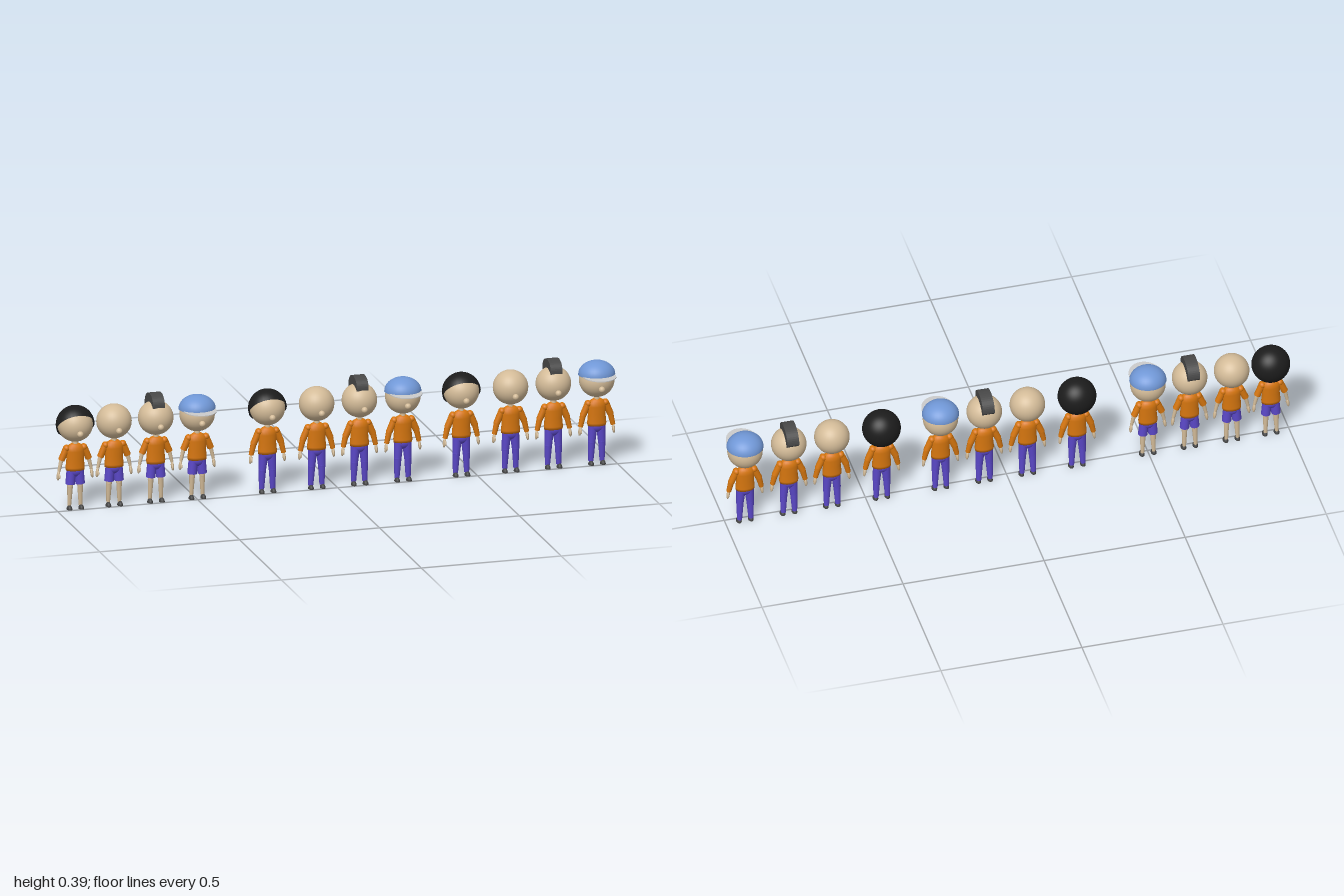
import * as THREE from 'three';

const mat = (color) => new THREE.MeshStandardMaterial({ color, side: THREE.DoubleSide });
const SKIN = mat(0xd3bb98), SHIRT = mat(0xd6760f), PANTS = mat(0x5b48c8), SHOE = mat(0x444444),
  BLACK = mat(0x1c1c1c), DARK = mat(0x484848), BLUE = mat(0x7097d6), GREY = mat(0xcccccc);

const Z = -0.018; // body axis
const HEAD_Y = 0.302;

function add(group, name, geometry, material, x = 0, y = 0, z = Z) {
  const mesh = new THREE.Mesh(geometry, material);
  mesh.name = name;
  mesh.position.set(x, y, z);
  group.add(mesh);
  return mesh;
}

const ball = (rx, ry, rz) => new THREE.SphereGeometry(1, 24, 16).scale(rx, ry, rz);

// Lathed form from [radius, y] pairs, squashed in depth
function lathe(points, depth = 1) {
  const profile = points.map(([r, y]) => new THREE.Vector2(r, y));
  return new THREE.LatheGeometry(profile, 20).scale(1, 1, depth);
}

// Tapered limb segment between two points
function limb(group, name, a, b, ra, rb, material) {
  const from = new THREE.Vector3(...a), to = new THREE.Vector3(...b);
  const dir = to.clone().sub(from);
  const mesh = add(group, name, new THREE.CylinderGeometry(rb, ra, dir.length(), 14), material);
  mesh.position.copy(from).add(to).multiplyScalar(0.5);
  mesh.quaternion.setFromUnitVectors(new THREE.Vector3(0, 1, 0), dir.normalize());
  return mesh;
}

function addHead(g) {
  add(g, 'head', new THREE.SphereGeometry(0.06, 32, 24), SKIN, 0, HEAD_Y).scale.x = 1.02;
  add(g, 'nose', ball(0.011, 0.011, 0.011), SKIN, 0, 0.283, 0.045);
  add(g, 'neck', new THREE.CylinderGeometry(0.009, 0.011, 0.03, 14), SKIN, 0, 0.238);
}

function addTorso(g) {
  add(g, 'shirt', lathe([[0, 0.145], [0.033, 0.14], [0.034, 0.15], [0.031, 0.18], [0.034, 0.208],
    [0.031, 0.222], [0.022, 0.23], [0.012, 0.236], [0, 0.236]], 0.64), SHIRT);
  add(g, 'hips', ball(0.03, 0.022, 0.019), PANTS, 0, 0.137);
}

function addArm(g, s, shortSleeve) {
  const shoulder = [s * 0.031, 0.219, Z], elbow = [s * 0.049, 0.177, Z - 0.001], wrist = [s * 0.058, 0.138, Z];
  add(g, 'shoulder', ball(0.012, 0.012, 0.014), SHIRT, s * 0.031, 0.219);
  limb(g, 'upperSleeve', shoulder, elbow, 0.012, 0.0115, SHIRT);
  if (!shortSleeve) add(g, 'elbow', ball(0.0105, 0.0105, 0.0105), SHIRT, ...elbow);
  limb(g, 'forearm', elbow, wrist, shortSleeve ? 0.0075 : 0.0105, shortSleeve ? 0.0055 : 0.0085,
    shortSleeve ? SKIN : SHIRT);
  // Hand with thumb
  const hand = add(g, 'hand', ball(0.0055, 0.017, 0.008), SKIN, s * 0.06, 0.123, Z);
  hand.rotation.z = s * 0.12;
  const thumb = add(g, 'thumb', ball(0.003, 0.009, 0.003), SKIN, s * 0.058, 0.123, Z + 0.008);
  thumb.rotation.x = -0.35;
}

function addLeg(g, s, shorts) {
  const hip = [s * 0.014, 0.14, Z], knee = [s * 0.018, 0.082, Z], ankle = [s * 0.02, 0.012, Z - 0.003];
  if (shorts) {
    limb(g, 'shortsLeg', hip, [s * 0.018, 0.09, Z], 0.016, 0.0165, PANTS);
    limb(g, 'thigh', hip, knee, 0.012, 0.01, SKIN);
    add(g, 'knee', ball(0.01, 0.01, 0.01), SKIN, ...knee);
    limb(g, 'shin', knee, ankle, 0.01, 0.0065, SKIN);
  } else {
    limb(g, 'trouserThigh', hip, knee, 0.0165, 0.013, PANTS);
    add(g, 'trouserKnee', ball(0.013, 0.013, 0.013), PANTS, ...knee);
    limb(g, 'trouserShin', knee, ankle, 0.013, 0.009, PANTS);
  }
  // Shoe: half dome on a flat sole
  const shoe = new THREE.SphereGeometry(1, 16, 8, 0, Math.PI * 2, 0, Math.PI / 2).scale(0.0095, 0.015, 0.0155);
  add(g, 'shoe', shoe, SHOE, s * 0.021, 0, Z + 0.003);
  add(g, 'sole', new THREE.CylinderGeometry(1, 1, 0.003, 16).scale(0.0095, 1, 0.0155), SHOE,
    s * 0.021, 0.0015, Z + 0.003);
}

// Bowl of hair, tilted back so the face stays open
function addHair(g) {
  const shell = new THREE.SphereGeometry(1, 32, 20, 0, Math.PI * 2, 0, 1.7);
  shell.rotateX(-0.83).scale(0.067, 0.067, 0.063);
  add(g, 'hair', shell, BLACK, 0, HEAD_Y, Z + 0.001);
}

// Crest running from the forehead over to the back of the head
function addCrest(g) {
  const shape = new THREE.Shape();
  shape.moveTo(0.022, 0.345);
  shape.bezierCurveTo(0.024, 0.372, 0.006, 0.388, -0.024, 0.388);
  shape.bezierCurveTo(-0.058, 0.388, -0.082, 0.365, -0.08, 0.338);
  shape.lineTo(-0.066, 0.322);
  shape.quadraticCurveTo(-0.055, 0.35, -0.02, 0.352);
  shape.closePath();
  const crest = new THREE.ExtrudeGeometry(shape, { depth: 0.042, bevelEnabled: false, curveSegments: 12 });
  crest.translate(0, 0, -0.021).rotateY(-Math.PI / 2);
  add(g, 'crest', crest, DARK, 0, 0, 0);
}

function addCap(g) {
  const dome = new THREE.SphereGeometry(1, 32, 12, 0, Math.PI * 2, 0, Math.PI / 2);
  add(g, 'capDome', dome.scale(0.064, 0.049, 0.0615), BLUE, 0, 0.321);
  const brim = new THREE.CylinderGeometry(1, 1, 0.003, 32).scale(0.057, 1, 0.068);
  add(g, 'capBrim', brim, GREY, 0, 0.322, 0.014);
}

function makeFigure(name, topping, summer) {
  const g = new THREE.Group();
  g.name = name;
  addHead(g);
  addTorso(g);
  for (const s of [-1, 1]) {
    addArm(g, s, summer);
    addLeg(g, s, summer);
  }
  if (topping) topping(g);
  return g;
}

export function createModel() {
  const model = new THREE.Group();
  model.name = 'figureRow';
  const styles = [['hairedFigure', addHair], ['baldFigure', null], ['crestedFigure', addCrest], ['cappedFigure', addCap]];
  const rows = [
    [-0.933, -0.794, -0.645, -0.497],
    [-0.246, -0.07, 0.083, 0.238],
    [0.447, 0.623, 0.776, 0.931],
  ];
  rows.forEach((xs, row) => xs.forEach((x, i) => {
    const figure = makeFigure(styles[i][0], styles[i][1], row === 0);
    figure.position.x = x;
    model.add(figure);
  }));
  return model;
}
